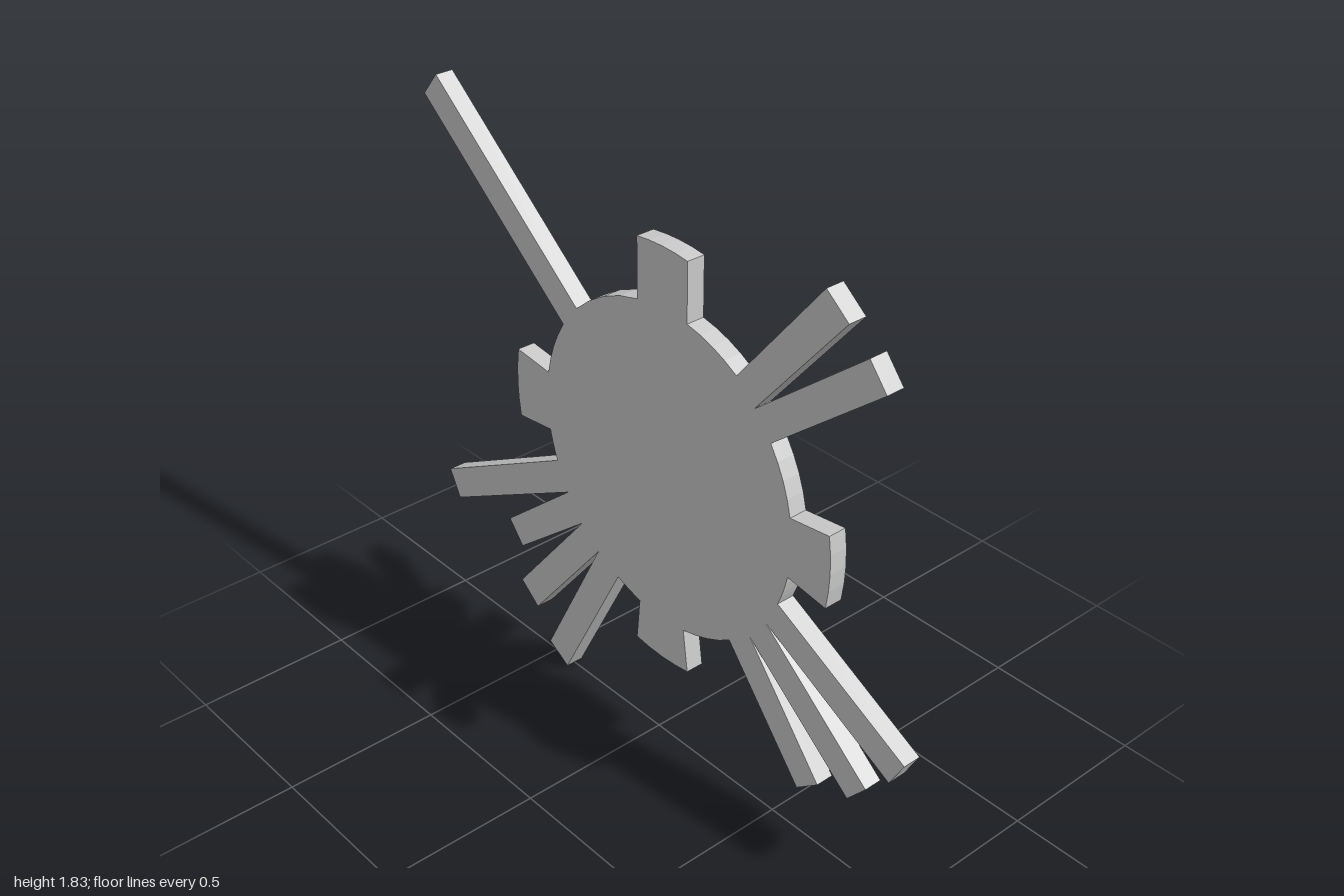
import * as THREE from 'three';

const CENTER = new THREE.Vector2(0.045, 0.965);
const DEPTH = 0.058;
const ARC_STEPS = 4;

// Straight runs of the outline, clockwise; consecutive runs are joined by arcs about CENTER
const RUNS = [
  // top tab
  [[-0.056, 1.46], [-0.056, 1.647]],
  [[0.144, 1.647], [0.144, 1.465]],
  // upper pair of rays
  [[0.334, 1.393], [0.634, 1.762], [0.714, 1.698], [0.404, 1.326], [0.786, 1.636], [0.848, 1.561], [0.468, 1.251]],
  // left (+x) tab
  [[0.548, 1.061], [0.69, 1.078]],
  [[0.69, 0.85], [0.548, 0.872]],
  // lower trio of rays
  [[0.516, 0.767], [1, 0.513], [0.952, 0.425], [0.473, 0.679], [0.874, 0.348], [0.81, 0.273],
    [0.414, 0.596], [0.698, 0.246], [0.62, 0.184], [0.332, 0.537]],
  // bottom tab
  [[0.139, 0.46], [0.158, 0.319]],
  [[-0.067, 0.319], [-0.053, 0.46]],
  // lower four rays
  [[-0.152, 0.492], [-0.412, 0], [-0.497, 0.051], [-0.243, 0.535], [-0.556, 0.155], [-0.634, 0.219],
    [-0.318, 0.599], [-0.623, 0.356], [-0.684, 0.43], [-0.382, 0.679], [-0.955, 0.374], [-1, 0.463], [-0.428, 0.77]],
  // right (-x) tab
  [[-0.457, 0.866], [-0.599, 0.85]],
  [[-0.599, 1.078], [-0.457, 1.061]],
  // long single ray
  [[-0.38, 1.251], [-1, 1.757], [-0.936, 1.832], [-0.318, 1.326]],
];

// Points strictly between a and b, swept clockwise around CENTER
function arcBetween(a, b) {
  const from = a.clone().sub(CENTER);
  const to = b.clone().sub(CENTER);
  let sweep = to.angle() - from.angle();
  if (sweep > 0) sweep -= Math.PI * 2;
  const points = [];
  for (let i = 1; i < ARC_STEPS; i++) {
    const t = i / ARC_STEPS;
    const angle = from.angle() + sweep * t;
    const radius = THREE.MathUtils.lerp(from.length(), to.length(), t);
    points.push(new THREE.Vector2(Math.cos(angle), Math.sin(angle)).multiplyScalar(radius).add(CENTER));
  }
  return points;
}

export function createModel() {
  const runs = RUNS.map((run) => run.map(([x, y]) => new THREE.Vector2(x, y)));
  const outline = runs.flatMap((run, i) => [
    ...run,
    ...arcBetween(run[run.length - 1], runs[(i + 1) % runs.length][0]),
  ]);

  // Flat disc with tabs and rays, cut from one plate
  const geometry = new THREE.ExtrudeGeometry(new THREE.Shape(outline), { depth: DEPTH, bevelEnabled: false });
  geometry.translate(0, 0, -DEPTH / 2);
  const plate = new THREE.Mesh(geometry, new THREE.MeshStandardMaterial({ color: 0xcccccc, flatShading: true }));
  plate.name = 'rayedDisc';

  const model = new THREE.Group();
  model.name = 'sunburstPlate';
  model.add(plate);
  return model;
}
